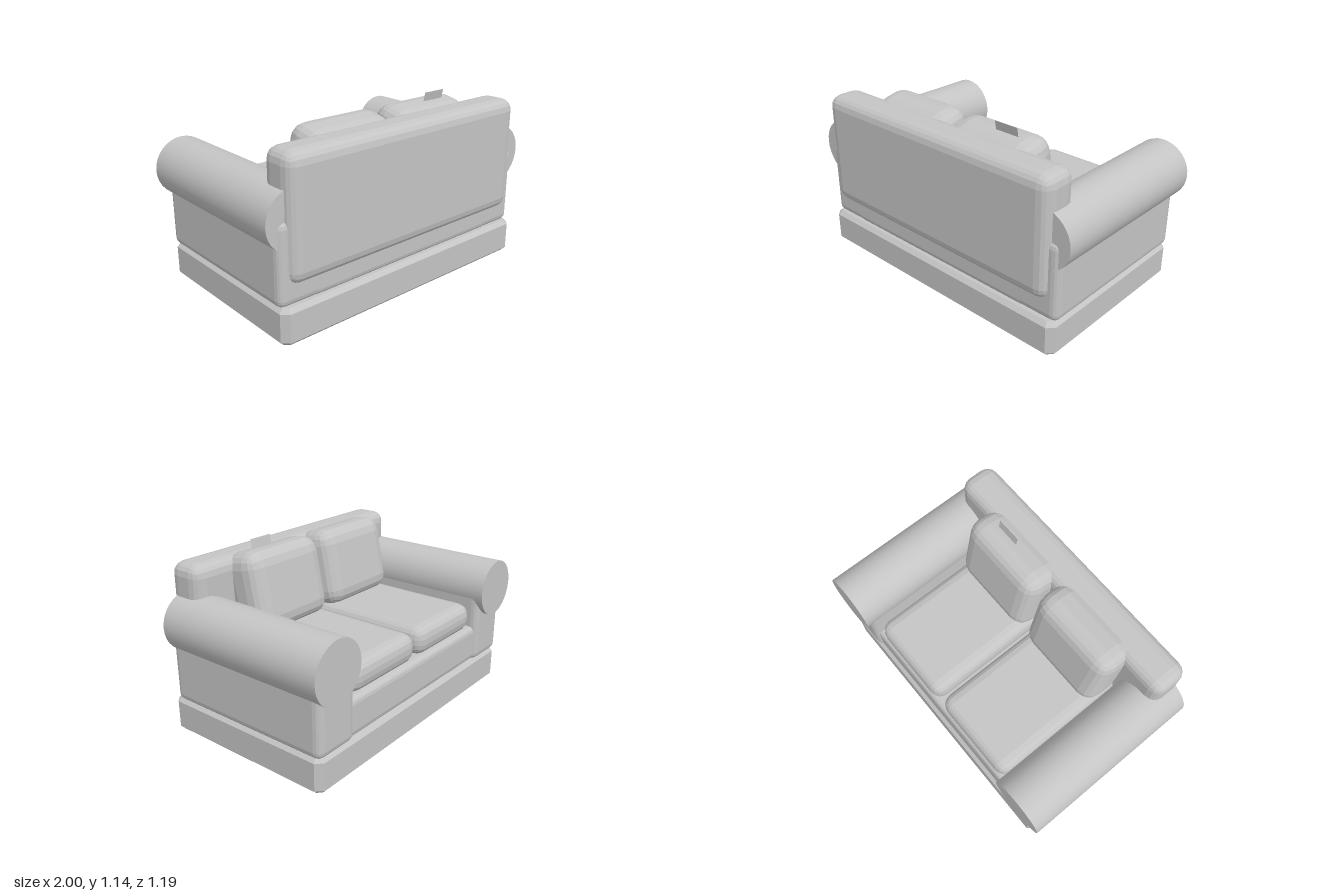
import * as THREE from 'three';
import { RoundedBoxGeometry } from 'three/addons/geometries/RoundedBoxGeometry.js';

export function createModel() {
  const model = new THREE.Group();
  model.name = 'sofa';
  const fabric = new THREE.MeshStandardMaterial({ color: 0xc4c4c4, side: THREE.DoubleSide });
  fabric.name = 'grey fabric';

  const add = (name, geometry, parent = model) => {
    const mesh = new THREE.Mesh(geometry, fabric);
    mesh.name = name;
    parent.add(mesh);
    return mesh;
  };

  // Faceted rounded box given by its extents [min, max] on each axis
  const softBox = (name, [x0, x1], [y0, y1], [z0, z1], radius, segments = 2) => {
    const g = new RoundedBoxGeometry(x1 - x0, y1 - y0, z1 - z0, segments, radius);
    g.computeVertexNormals();
    const mesh = add(name, g);
    mesh.position.set((x0 + x1) / 2, (y0 + y1) / 2, (z0 + z1) / 2);
    return mesh;
  };

  // Plinth with single chamfers on every edge
  const c = 0.025, w = 0.94 - c, d = 0.58 - c;
  const outline = new THREE.Shape([
    [-w + c, -d], [w - c, -d], [w, -d + c], [w, d - c],
    [w - c, d], [-w + c, d], [-w, d - c], [-w, -d + c],
  ].map(([x, y]) => new THREE.Vector2(x, y)));
  const plinthShape = new THREE.ExtrudeGeometry(outline, {
    depth: 0.22 - 2 * c, bevelEnabled: true, bevelSize: c, bevelThickness: c, bevelSegments: 1,
  });
  plinthShape.rotateX(-Math.PI / 2);
  add('plinth', plinthShape).position.set(0, c, 0.01);

  // Body under the seat and the tall back
  softBox('seatBase', [-0.72, 0.72], [0.21, 0.45], [-0.55, 0.555], 0.04);
  softBox('backrest', [-0.887, 0.887], [0.33, 1.057], [0.355, 0.595], 0.075);

  for (const side of [-1, 1]) {
    const span = (a, b) => (side > 0 ? [a, b] : [-b, -a]);
    const label = side > 0 ? 'left' : 'right';

    // Arm: rounded panel topped by a long roll
    softBox(label + 'ArmPanel', span(0.64, 0.94), [0.21, 0.7], [-0.57, 0.555], 0.045);
    const roll = new THREE.CylinderGeometry(0.183, 0.183, 1.14, 32);
    roll.rotateX(Math.PI / 2);
    add(label + 'ArmRoll', roll).position.set(side * 0.817, 0.69, -0.03);

    // Seat cushion
    softBox(label + 'SeatCushion', span(0.014, 0.62), [0.44, 0.625], [-0.54, 0.4], 0.075);

    // Back cushion leaning against the backrest
    const cushion = softBox(label + 'BackCushion', span(0.014, 0.62),
      [0.584, 1.084], [0.15, 0.43], 0.1);
    cushion.rotation.x = 0.2;
  }

  // Small flat tag standing on one back cushion
  const tag = add('cushionTag', new THREE.PlaneGeometry(0.16, 0.08).rotateY(Math.PI));
  tag.rotation.x = 0.2;
  tag.position.set(0.395, 1.096, 0.338);

  return model;
}
